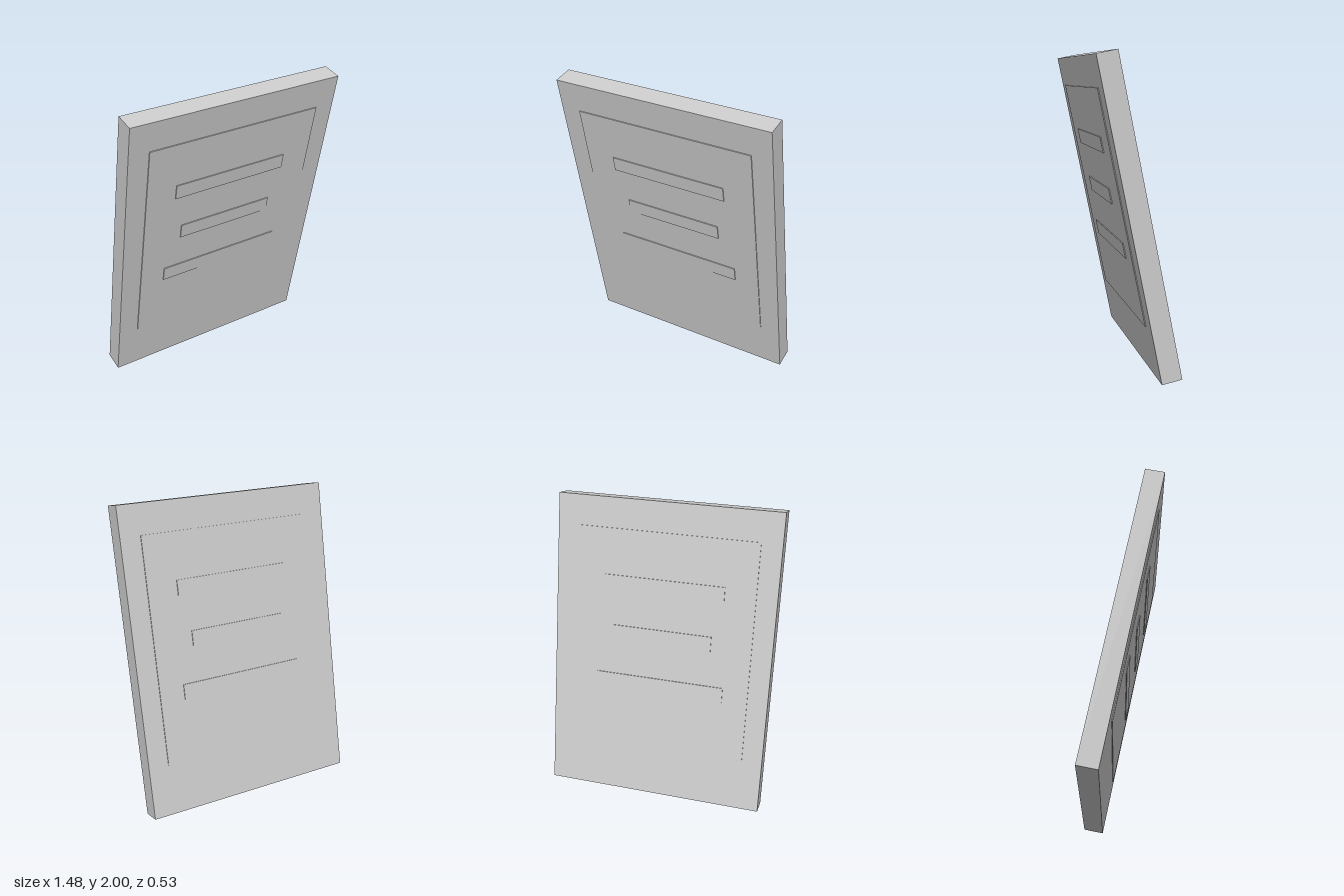
import * as THREE from 'three';

const TILT = 0.2;
const DEPTH = 0.13;
const STEP = 0.006; // relief of each raised layer

export function createModel() {
  const model = new THREE.Group();
  model.name = 'leaningSlab';
  const material = new THREE.MeshStandardMaterial({ color: 0xcccccc });

  // Everything is laid out upright, then leaned forward as one piece
  const leaning = new THREE.Group();
  leaning.name = 'slabAssembly';
  leaning.position.y = 1;
  leaning.rotation.x = TILT;
  model.add(leaning);

  const addBox = (name, w, h, d, y, z) => {
    const mesh = new THREE.Mesh(new THREE.BoxGeometry(w, h, d), material);
    mesh.name = name;
    mesh.position.set(0, y, z);
    leaning.add(mesh);
  };

  addBox('slab', 1.475, 2.014, DEPTH, 0, 0);

  // Raised panel and three bars, the same on both faces
  const bars = [
    ['upperBar', 0.80, 0.457],
    ['middleBar', 0.67, 0.121],
    ['lowerBar', 0.87, -0.215],
  ];
  for (const [face, side] of [['front', 1], ['back', -1]]) {
    addBox(face + 'Panel', 1.205, 1.48, STEP, 0.071, side * (DEPTH / 2 + STEP / 2));
    for (const [name, width, y] of bars) {
      addBox(`${face} ${name}`, width, 0.1, STEP, y, side * (DEPTH / 2 + STEP * 1.5));
    }
  }
  return model;
}
